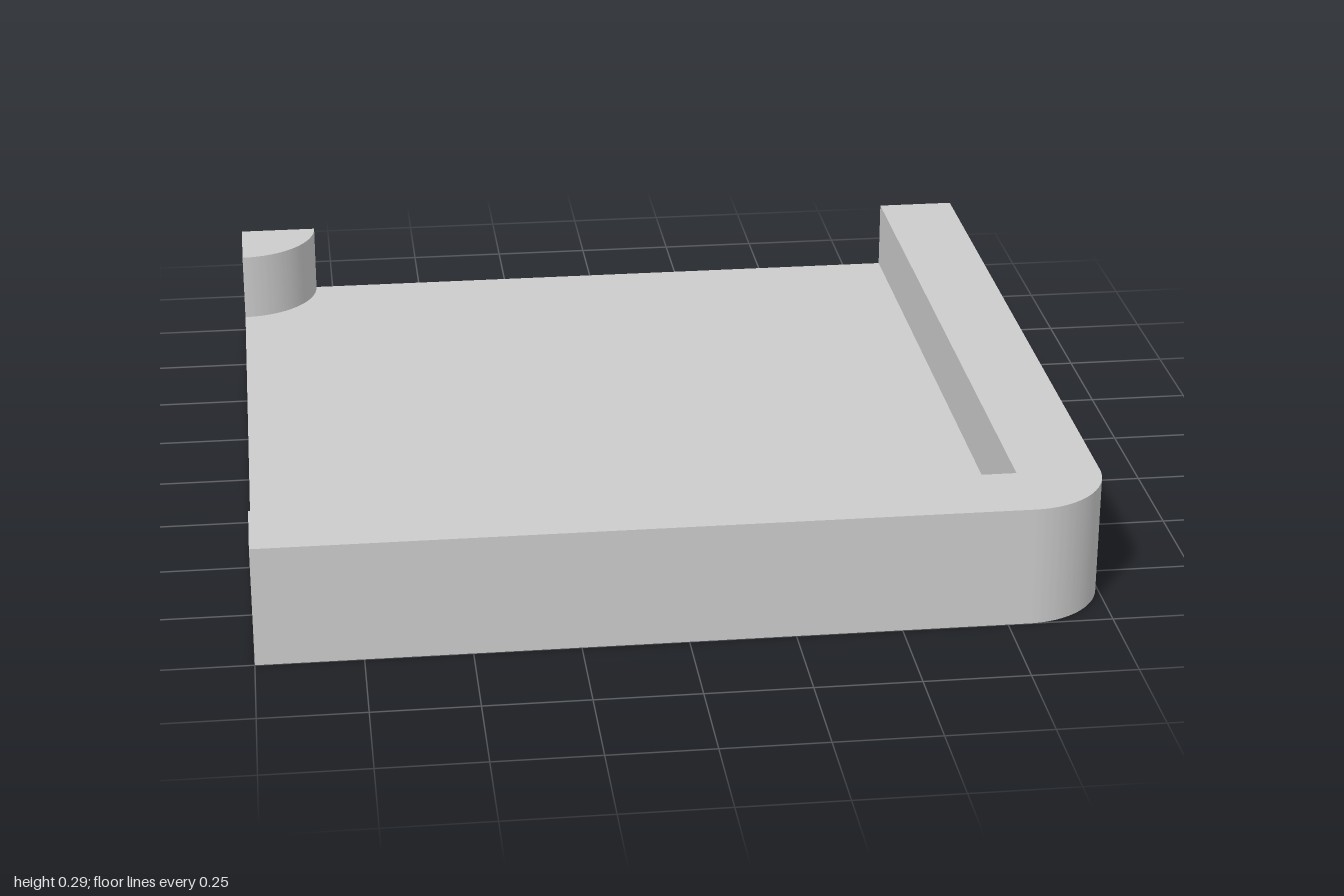
import * as THREE from 'three';
import { toCreasedNormals } from 'three/addons/utils/BufferGeometryUtils.js';

const HEIGHT = 0.295; // overall height
const FLOOR = 0.12;   // floor thickness
const R = 0.2;        // wall width, corner radius and post radius

export function createModel() {
  const group = new THREE.Group();
  const material = new THREE.MeshStandardMaterial({ color: 0xcccccc });

  // Extrudes a plan outline (x, -z) upward from y0 to y1
  const addPart = (name, shape, y0, y1) => {
    const extruded = new THREE.ExtrudeGeometry(shape, { depth: y1 - y0, bevelEnabled: false, curveSegments: 24 });
    extruded.rotateX(-Math.PI / 2);
    const mesh = new THREE.Mesh(toCreasedNormals(extruded, 0.5), material);
    mesh.name = name;
    mesh.position.y = y0;
    group.add(mesh);
  };

  // Outer edge along the front, round the corner and up the left side
  const outerEdge = () => {
    const shape = new THREE.Shape();
    shape.moveTo(-1, -1);
    shape.lineTo(1 - R, -1);
    shape.absarc(1 - R, -1 + R, R, -Math.PI / 2, 0, false);
    shape.lineTo(1, 1);
    return shape;
  };

  // Square floor with one rounded corner
  const floor = outerEdge();
  floor.lineTo(-1, 1);
  floor.closePath();
  addPart('floor', floor, 0, FLOOR);

  // L-shaped raised wall on two sides
  const wall = outerEdge();
  wall.lineTo(1 - R, 1);
  wall.lineTo(1 - R, -1 + R);
  wall.lineTo(-1, -1 + R);
  wall.closePath();
  addPart('wall', wall, FLOOR, HEIGHT);

  // Quarter-round post in the opposite corner
  const post = new THREE.Shape();
  post.moveTo(-1, 1);
  post.lineTo(-1, 1 - R);
  post.absarc(-1, 1, R, -Math.PI / 2, 0, false);
  post.closePath();
  addPart('cornerPost', post, FLOOR, HEIGHT);

  return group;
}
